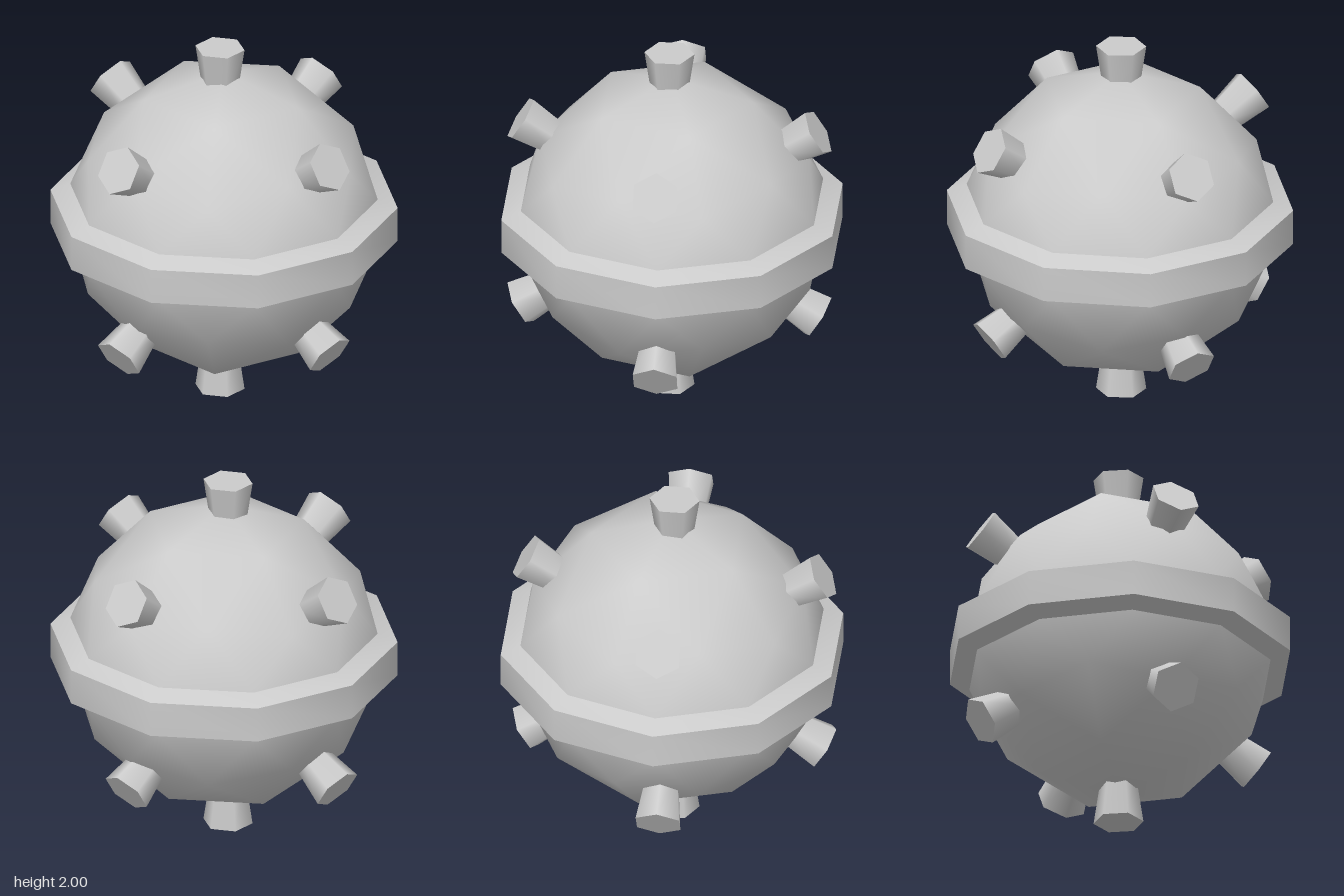
import * as THREE from 'three';
import { toCreasedNormals } from 'three/addons/utils/BufferGeometryUtils.js';

const CENTER_Y = 1.01;
const material = new THREE.MeshStandardMaterial({ color: 0xcccccc });

// Half of a five-fold geodesic ball: pole, two upper rings and a ten-sided rim.
function domeGeometry() {
  const points = [], index = [];
  const add = (degrees, radius, y) => {
    const a = THREE.MathUtils.degToRad(degrees);
    points.push(radius * Math.cos(a), y, -radius * Math.sin(a));
  };
  add(0, 0, 0.85);
  for (let k = 0; k < 5; k++) add(72 * k, 0.43, 0.725);
  for (let k = 0; k < 5; k++) {
    add(72 * k, 0.733, 0.393);
    add(72 * k + 36, 0.697, 0.463);
  }
  for (let j = 0; j < 10; j++) add(36 * j - 18, 0.818, 0.14);

  const A = k => 1 + k % 5;
  const M = k => 6 + 2 * (k % 5);
  const E = k => M(k) + 1;
  const Q = j => 16 + j % 10;
  for (let k = 0; k < 5; k++) {
    const q = 2 * k;
    index.push(
      0, A(k), A(k + 1),
      A(k), M(k), E(k),
      A(k), E(k), A(k + 1),
      A(k + 1), E(k), M(k + 1),
      M(k), Q(q), Q(q + 1),
      M(k), Q(q + 1), E(k),
      E(k), Q(q + 1), Q(q + 2),
      E(k), Q(q + 2), M(k + 1));
  }
  const geometry = new THREE.BufferGeometry();
  geometry.setAttribute('position', new THREE.Float32BufferAttribute(points, 3));
  geometry.setIndex(index);
  geometry.computeVertexNormals();
  return geometry;
}

function addMesh(parent, name, geometry) {
  const mesh = new THREE.Mesh(geometry, material);
  mesh.name = name;
  parent.add(mesh);
  return mesh;
}

export function createModel() {
  const model = new THREE.Group();
  model.name = 'studdedBall';

  const body = new THREE.Group();
  body.name = 'body';
  body.position.y = CENTER_Y;
  model.add(body);

  // Upper and lower halves
  const dome = domeGeometry();
  addMesh(body, 'upperDome', dome);
  addMesh(body, 'lowerDome', dome).rotation.x = Math.PI;

  // Bevelled belt around the middle
  const profile = [[0.818, -0.14], [0.924, -0.097], [0.924, 0.097], [0.818, 0.14]]
    .map(([r, y]) => new THREE.Vector2(r, y));
  addMesh(body, 'belt', toCreasedNormals(new THREE.LatheGeometry(profile, 10), 0.65));

  // Six-sided studs, wider at the tip
  const studs = new THREE.Group();
  studs.name = 'studs';
  studs.position.set(-0.015, 1, -0.015);
  model.add(studs);
  const length = 0.27;
  const stud = new THREE.CylinderGeometry(0.133, 0.093, length, 6);
  stud.translate(0, -length / 2, 0);

  const poleStud = stud.clone().rotateY(Math.PI / 2).translate(0, 1, 0);
  addMesh(studs, 'topStud', poleStud);
  addMesh(studs, 'bottomStud', poleStud).rotation.x = Math.PI;

  // Four slanted studs on each half
  const tilt = THREE.MathUtils.degToRad(58);
  for (const side of [1, -1]) {
    const slanted = stud.clone()
      .rotateX(side > 0 ? tilt : Math.PI - tilt)
      .translate(0, side * 0.557 + 0.007, 0.79);
    for (let k = 0; k < 4; k++) {
      addMesh(studs, side > 0 ? 'upperStud' : 'lowerStud', slanted).rotation.y = k * Math.PI / 2;
    }
  }
  return model;
}
